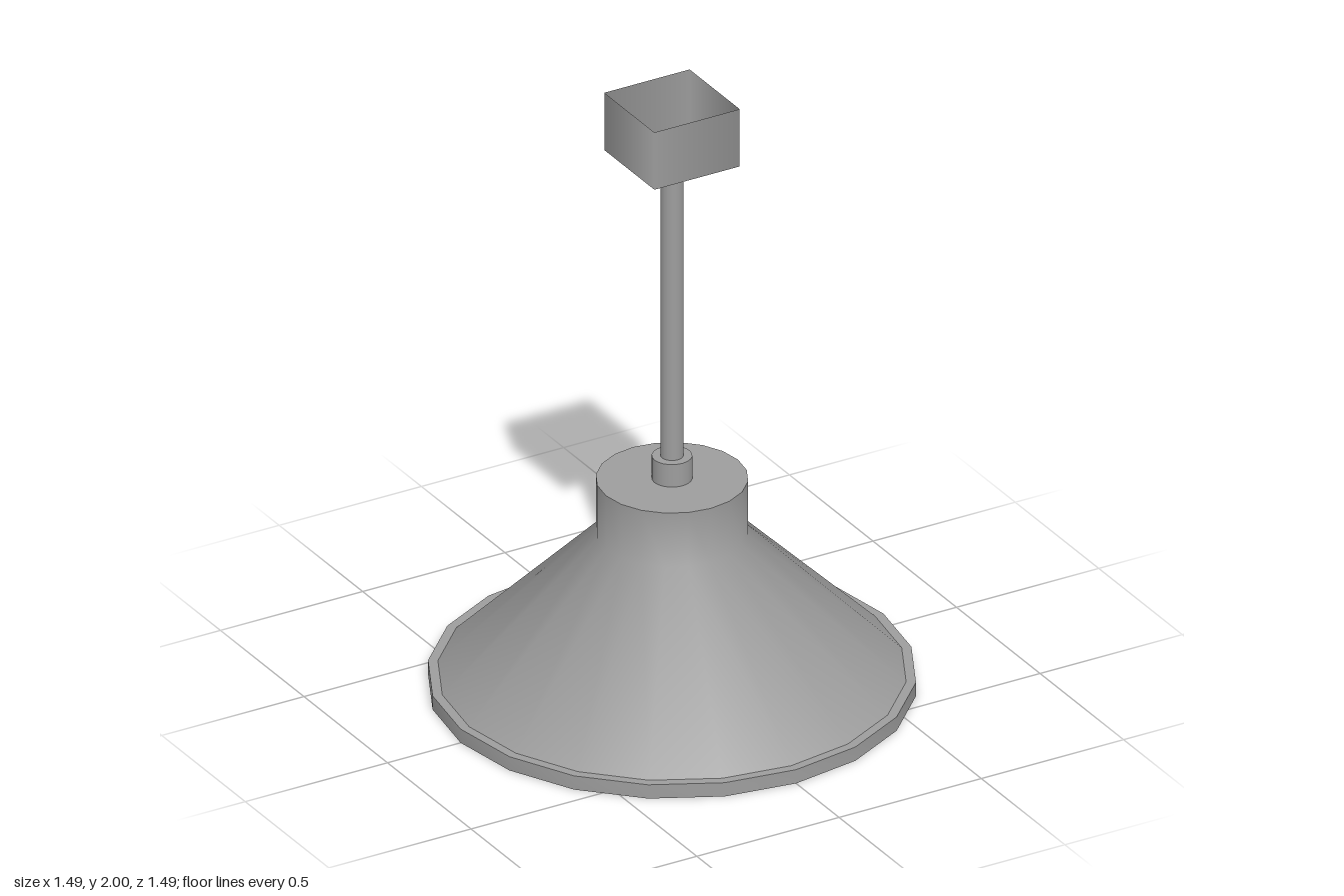
import * as THREE from 'three';
import { toCreasedNormals } from 'three/addons/utils/BufferGeometryUtils.js';

const SIDES = 20;
const COLOR = 0x9d9d9d;
const material = new THREE.MeshStandardMaterial({ color: COLOR });
const openMaterial = new THREE.MeshStandardMaterial({ color: COLOR, side: THREE.DoubleSide });

export function createModel() {
  const group = new THREE.Group();

  const add = (name, geometry, y = 0, mat = material) => {
    const mesh = new THREE.Mesh(geometry, mat);
    mesh.name = name;
    mesh.position.y = y;
    group.add(mesh);
  };
  // Turned part from [radius, height] pairs, smooth around, sharp at strong corners
  const turned = (points) => toCreasedNormals(
    new THREE.LatheGeometry(points.map(([r, y]) => new THREE.Vector2(r, y)), SIDES), 0.9);
  const rod = (radius, y0, y1, name) =>
    add(name, new THREE.CylinderGeometry(radius, radius, y1 - y0, SIDES), (y0 + y1) / 2);

  // Conical shade with cylindrical neck, outside then inside
  add('shade', turned([
    [0.713, 0.047], [0.232, 0.525], [0.232, 0.71], [0, 0.71],
  ]));
  add('shadeLining', turned([
    [0, 0.7], [0.22, 0.7], [0.22, 0.505], [0.718, 0],
  ]), 0, openMaterial);

  // Flat band around the mouth of the shade
  add('rim', turned([
    [0.718, 0], [0.743, 0], [0.743, 0.047], [0.713, 0.047],
  ]), 0, openMaterial);

  // Bulb: round globe flowing into a narrower stem
  const bulb = [];
  for (let i = 0; i <= 10; i++) {
    const a = (i / 10) * 1.9;
    bulb.push([0.148 * Math.sin(a), 0.19 - 0.148 * Math.cos(a)]);
  }
  bulb.push([0.123, 0.285], [0.111, 0.33], [0.105, 0.39], [0.103, 0.7]);
  add('bulb', turned(bulb));

  // Collar and hanging rod
  rod(0.062, 0.71, 0.787, 'collar');
  rod(0.035, 0.78, 1.804, 'hangingRod');

  // Four-sided ceiling box with softly shaded walls; its top cap is removed
  const radius = 0.15 * Math.SQRT2;
  const box = new THREE.CylinderGeometry(radius, radius, 0.196, 4, 1, false, Math.PI / 4);
  const index = Array.from(box.index.array);
  index.splice(24, 12);
  box.setIndex(index);
  box.clearGroups();
  add('ceilingBox', box, 1.902, openMaterial);

  return group;
}
